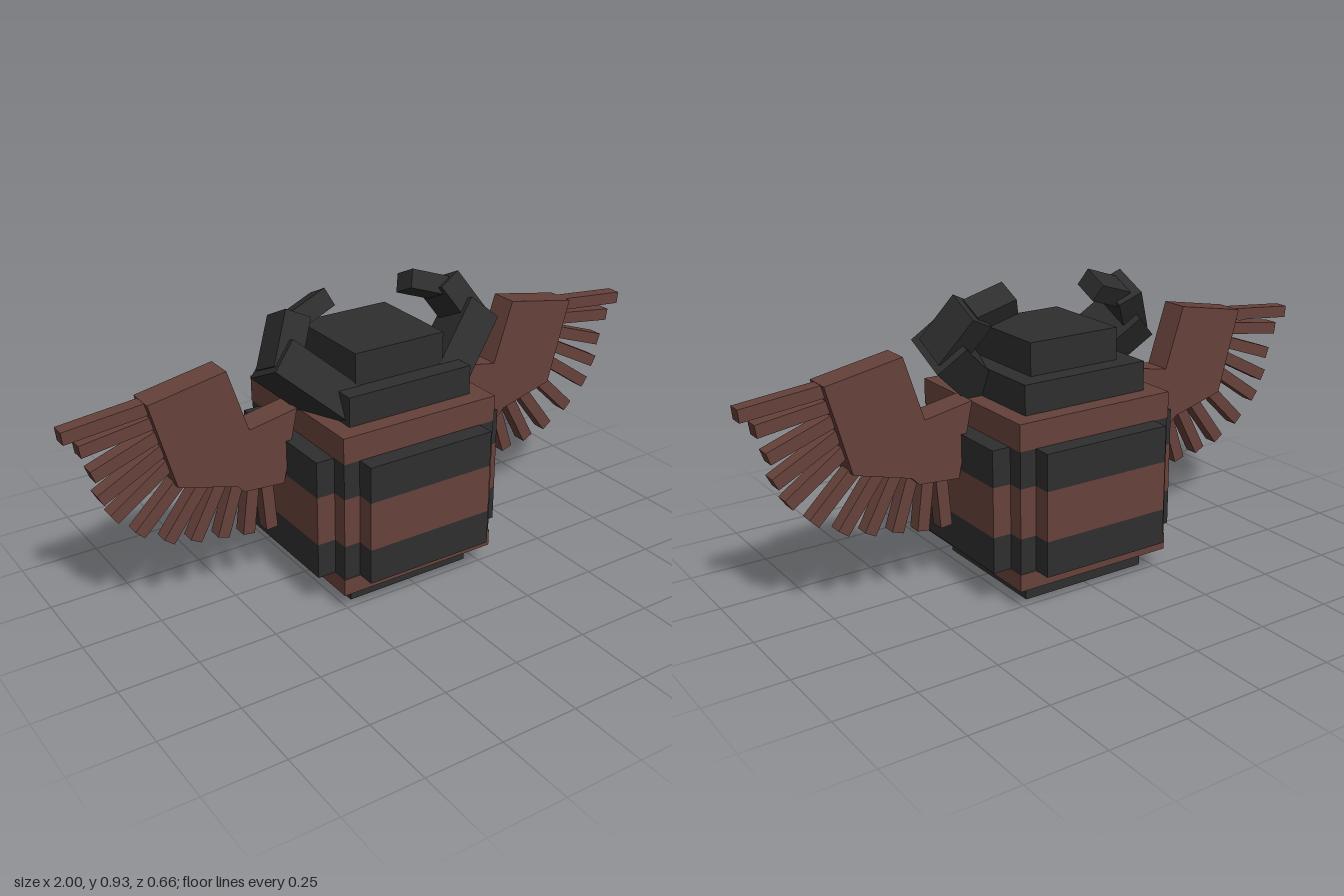
import * as THREE from 'three';

const dark = new THREE.MeshStandardMaterial({ color: 0x2e2e2e });
dark.name = 'charcoal';
const brown = new THREE.MeshStandardMaterial({ color: 0x66413a });
brown.name = 'reddish brown';

function box(name, parent, mat, w, h, d, x, y, z, rz = 0) {
  const m = new THREE.Mesh(new THREE.BoxGeometry(w, h, d), mat);
  m.name = name;
  m.position.set(x, y, z);
  m.rotation.z = rz;
  parent.add(m);
  return m;
}

// Square slab of half width r between two heights
function slab(name, parent, mat, r, y0, y1) {
  box(name, parent, mat, r * 2, y1 - y0, r * 2, 0, (y0 + y1) / 2, 0);
}

// Slab with stepped corners, extruded upwards
function band(name, parent, mat, y0, y1) {
  const a = 0.33, b = 0.27, c = 0.217;
  const quarter = [[a, c], [b, c], [b, b], [c, b], [c, a]];
  const pts = [];
  for (let i = 0; i < 4; i++) {
    const co = [1, 0, -1, 0][i], si = [0, 1, 0, -1][i];
    for (const [x, y] of quarter) pts.push(new THREE.Vector2(x * co - y * si, x * si + y * co));
  }
  const geo = new THREE.ExtrudeGeometry(new THREE.Shape(pts), { depth: y1 - y0, bevelEnabled: false });
  geo.rotateX(-Math.PI / 2);
  const m = new THREE.Mesh(geo, mat);
  m.name = name;
  m.position.y = y0;
  parent.add(m);
}

// Three-segment horn, bent in a plane that leans backwards
function horn(side) {
  const g = new THREE.Group();
  g.name = side > 0 ? 'leftHorn' : 'rightHorn';
  g.position.set(0, 0.881, -0.031);
  g.rotation.x = -0.448;
  const seg = (name, w, h, d, x, y, deg) =>
    box(name, g, dark, w, h, d, side * x, y, 0, side * THREE.MathUtils.degToRad(deg));
  seg('hornBase', 0.112, 0.3, 0.168, 0.2525, -0.235, -45);
  seg('hornMiddle', 0.083, 0.171, 0.124, 0.31, -0.095, 28);
  seg('hornTip', 0.06, 0.13, 0.088, 0.208, -0.015, 69.5);
  return g;
}

// Flat wing panel with a fan of feathers
function wing(side) {
  const g = new THREE.Group();
  g.name = side > 0 ? 'leftWing' : 'rightWing';
  const outline = [[0.29, 0.6], [0.45, 0.57], [0.515, 0.77], [0.76, 0.725],
    [0.685, 0.45], [0.5, 0.4], [0.475, 0.375], [0.34, 0.365]];
  const shape = new THREE.Shape(outline.map(([x, y]) => new THREE.Vector2(side * x, y)));
  const geo = new THREE.ExtrudeGeometry(shape, { depth: 0.09, bevelEnabled: false });
  geo.translate(0, 0, -0.045);
  const panel = new THREE.Mesh(geo, brown);
  panel.name = 'wingPanel';
  g.add(panel);
  // each feather: root x, root y, tip x, tip y
  const feathers = [
    [0.70, 0.71, 1.0, 0.68], [0.69, 0.665, 0.955, 0.628], [0.68, 0.63, 0.925, 0.543],
    [0.67, 0.59, 0.91, 0.465], [0.65, 0.55, 0.875, 0.395], [0.62, 0.5, 0.803, 0.322],
    [0.57, 0.46, 0.715, 0.27], [0.53, 0.43, 0.63, 0.246], [0.48, 0.41, 0.54, 0.23],
    [0.43, 0.4, 0.455, 0.215], [0.39, 0.4, 0.375, 0.21],
  ];
  feathers.forEach(([x0, y0, x1, y1], i) => {
    const len = Math.hypot(x1 - x0, y1 - y0);
    box('feather' + (i + 1), g, brown, len, 0.039, 0.046,
      side * (x0 + x1) / 2, (y0 + y1) / 2, 0, side * Math.atan2(y1 - y0, x1 - x0));
  });
  return g;
}

export function createModel() {
  const model = new THREE.Group();
  model.name = 'wingedBarrelCreature';

  // Stepped barrel body
  slab('base', model, dark, 0.217, 0, 0.062);
  slab('lowerRim', model, brown, 0.272, 0.062, 0.117);
  band('lowerBand', model, dark, 0.117, 0.23);
  band('middleBand', model, brown, 0.23, 0.387);
  band('upperBand', model, dark, 0.387, 0.502);
  slab('upperRim', model, brown, 0.272, 0.502, 0.585);
  slab('shoulder', model, dark, 0.217, 0.585, 0.678);
  slab('crown', model, dark, 0.157, 0.678, 0.78);

  // Mirrored horns and wings
  for (const side of [1, -1]) model.add(horn(side), wing(side));
  return model;
}
